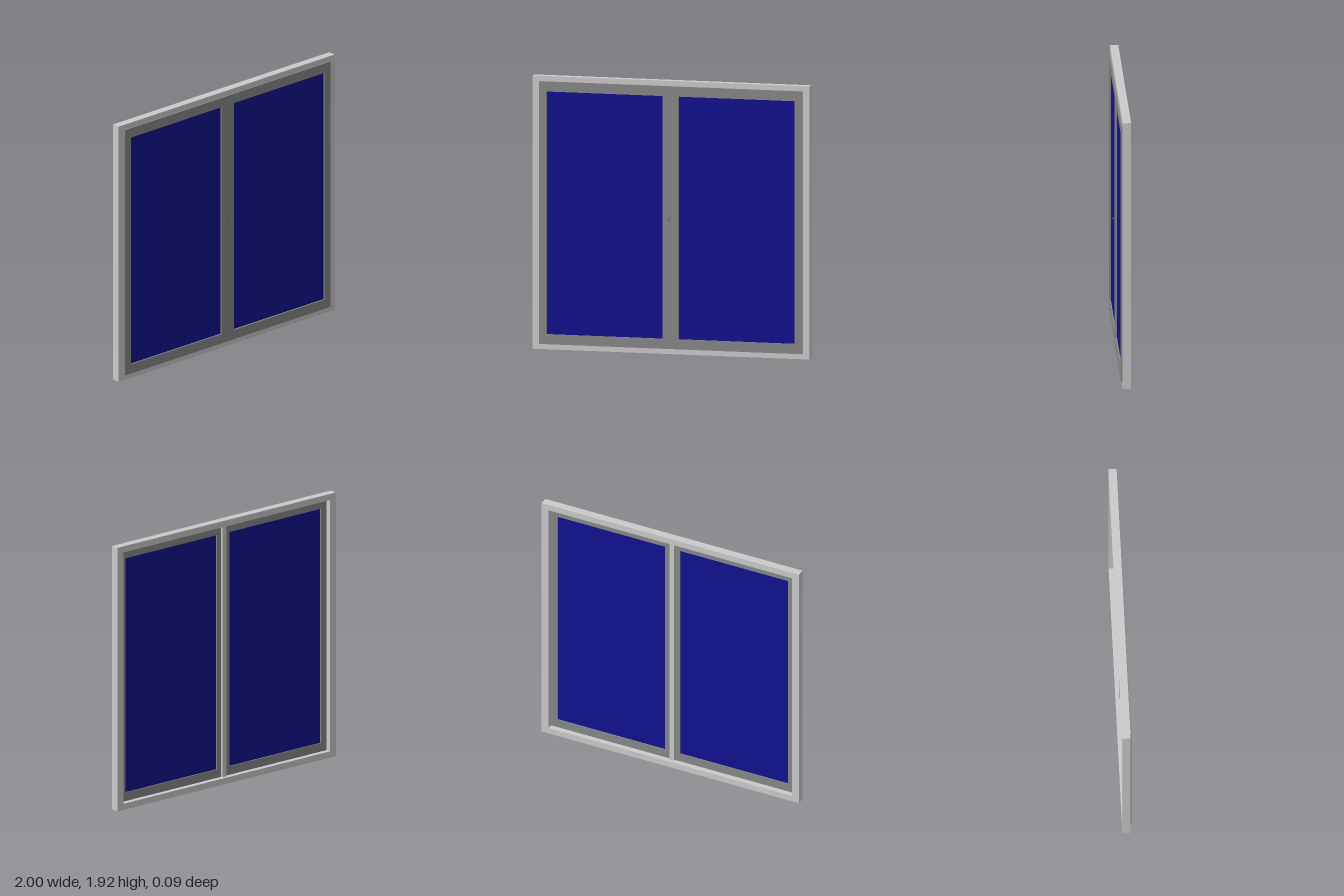
import * as THREE from 'three';

const frameMat = new THREE.MeshStandardMaterial({ color: 0xcccccc });
const sashMat = new THREE.MeshStandardMaterial({ color: 0x888888 });
const glassMat = new THREE.MeshStandardMaterial({ color: 0x111190 });
const handleMat = new THREE.MeshStandardMaterial({ color: 0x666666 });

// Rectangle outline from corner to corner
function trace(path, x0, y0, x1, y1) {
  path.moveTo(x0, y0);
  path.lineTo(x1, y0);
  path.lineTo(x1, y1);
  path.lineTo(x0, y1);
  path.closePath();
  return path;
}

// Flat panel with rectangular openings, between two depths
function panel(name, outer, holes, z0, z1, material) {
  const shape = trace(new THREE.Shape(), ...outer);
  shape.holes = holes.map((h) => trace(new THREE.Path(), ...h));
  const geo = new THREE.ExtrudeGeometry(shape, { depth: z1 - z0, bevelEnabled: false });
  geo.translate(0, 0, z0);
  const mesh = new THREE.Mesh(geo, material);
  mesh.name = name;
  return mesh;
}

// Box given by its size and centre
function box(name, w, h, d, x, y, z, material) {
  const mesh = new THREE.Mesh(new THREE.BoxGeometry(w, h, d), material);
  mesh.position.set(x, y, z);
  mesh.name = name;
  return mesh;
}

export function createModel() {
  const group = new THREE.Group();
  group.name = 'window';

  // Outer frame
  group.add(panel('outerFrame', [-1, 0, 1, 1.92], [[-0.945, 0.045, 0.945, 1.875]], -0.043, 0.015, frameMat));

  // Sashes, standing slightly proud of the frame
  const panes = [[-0.895, 0.107, -0.057, 1.813], [0.057, 0.107, 0.895, 1.813]];
  group.add(panel('sash', [-0.95, 0.037, 0.95, 1.883], panes, -0.005, 0.025, sashMat));

  // Glass panes, recessed in the sashes
  panes.forEach(([x0, y0, x1, y1], i) => {
    group.add(box(i ? 'leftGlass' : 'rightGlass', x1 - x0, y1 - y0, 0.01, (x0 + x1) / 2, (y0 + y1) / 2, 0.008, glassMat));
  });

  // Central post behind the meeting sashes
  group.add(box('centrePost', 0.038, 1.83, 0.014, 0, 0.96, -0.011, frameMat));

  // Small latch handle
  const handle = new THREE.Group();
  handle.name = 'handle';
  handle.add(box('handlePlate', 0.008, 0.03, 0.006, -0.007, 0.953, 0.027, handleMat));
  handle.add(box('handleStem', 0.006, 0.01, 0.014, -0.007, 0.95, 0.034, handleMat));
  handle.add(box('handleGrip', 0.008, 0.018, 0.006, -0.007, 0.946, 0.04, handleMat));
  group.add(handle);

  return group;
}
